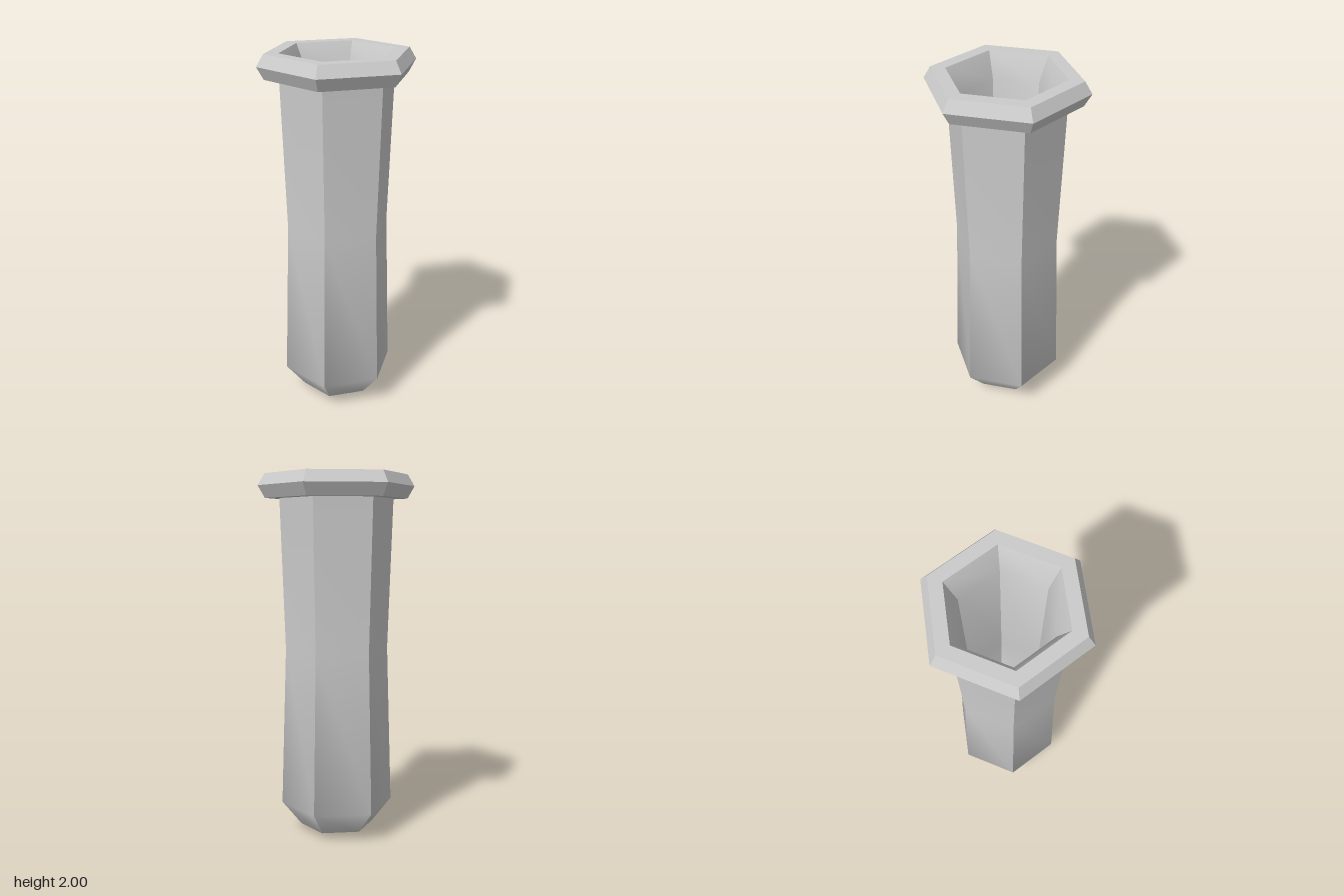
import * as THREE from 'three';
import { toCreasedNormals } from 'three/addons/utils/BufferGeometryUtils.js';

const SIDES = 6;
const CREASE = THREE.MathUtils.degToRad(40);

export function createModel() {
  const group = new THREE.Group();
  const material = new THREE.MeshStandardMaterial({ color: 0xcccccc });

  // Hexagonal ring of faces swept from [radius, height] pairs, corners on the x axis
  function addPart(name, profile) {
    const points = profile.map(([r, y]) => new THREE.Vector2(r, y));
    const lathe = new THREE.LatheGeometry(points, SIDES, Math.PI / 2);
    const mesh = new THREE.Mesh(toCreasedNormals(lathe, CREASE), material);
    mesh.name = name;
    group.add(mesh);
  }

  // Shallow pointed foot with a small flat in the middle
  addPart('base', [[0, 0], [0.08, 0], [0.205, 0.04]]);

  // Waisted outer wall, rounded in towards the foot
  addPart('body', [[0.205, 0.04], [0.312, 0.17], [0.284, 1.05], [0.312, 1.87]]);

  // Bevelled collar around the mouth
  addPart('rim', [[0.312, 1.87], [0.39, 1.87], [0.428, 1.937], [0.39, 2], [0.312, 2]]);

  // Hollow: funnel mouth, waisted wall and lower bevel
  addPart('innerWall', [[0.312, 2], [0.245, 1.87], [0.22, 1.05], [0.245, 0.2], [0.162, 0.1]]);

  // Dished floor of the hollow
  addPart('innerFloor', [[0.162, 0.1], [0.06, 0.07], [0, 0.07]]);

  return group;
}
